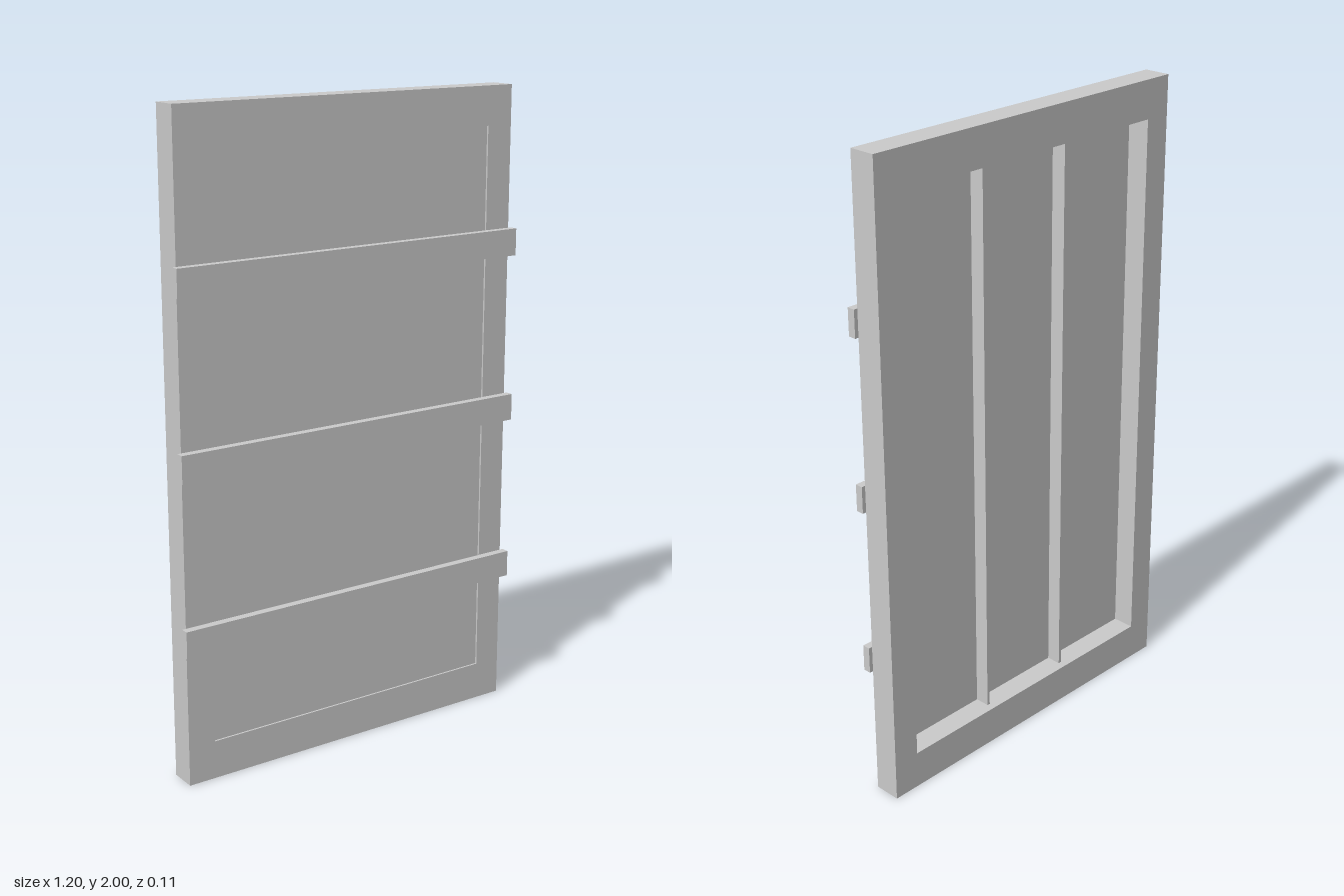
import * as THREE from 'three';

const material = new THREE.MeshStandardMaterial({ color: 0xcccccc, flatShading: true });

// Box given by its min/max extents on each axis
function block(name, [x0, x1], [y0, y1], [z0, z1]) {
  const mesh = new THREE.Mesh(new THREE.BoxGeometry(x1 - x0, y1 - y0, z1 - z0), material);
  mesh.position.set((x0 + x1) / 2, (y0 + y1) / 2, (z0 + z1) / 2);
  mesh.name = name;
  return mesh;
}

export function createModel() {
  const group = new THREE.Group();
  group.name = 'panelDoor';

  const depth = [-0.055, 0.03];
  const half = 0.588, inner = 0.5, low = 0.12, high = 1.88;

  // Frame: full-width rails with stiles between them
  group.add(block('bottomRail', [-half, half], [0, low], depth));
  group.add(block('topRail', [-half, half], [high, 2], depth));
  group.add(block('leftStile', [inner, half], [low, high], depth));
  group.add(block('rightStile', [-half, -inner], [low, high], depth));

  // Thin panel set just behind the front face
  group.add(block('panel', [-inner, inner], [low, high], [0.017, 0.024]));

  // Thin vertical ribs on the back of the panel
  for (const x of [-1 / 6, 1 / 6]) {
    group.add(block('backRib', [x - 0.005, x + 0.005], [low, high], [-0.03, 0.017]));
  }

  // Horizontal bands across the front, overhanging the frame slightly
  for (const y of [0.46, 0.99, 1.52]) {
    group.add(block('frontBand', [-0.6, 0.6], [y - 0.042, y + 0.042], [0.03, 0.055]));
  }

  return group;
}
